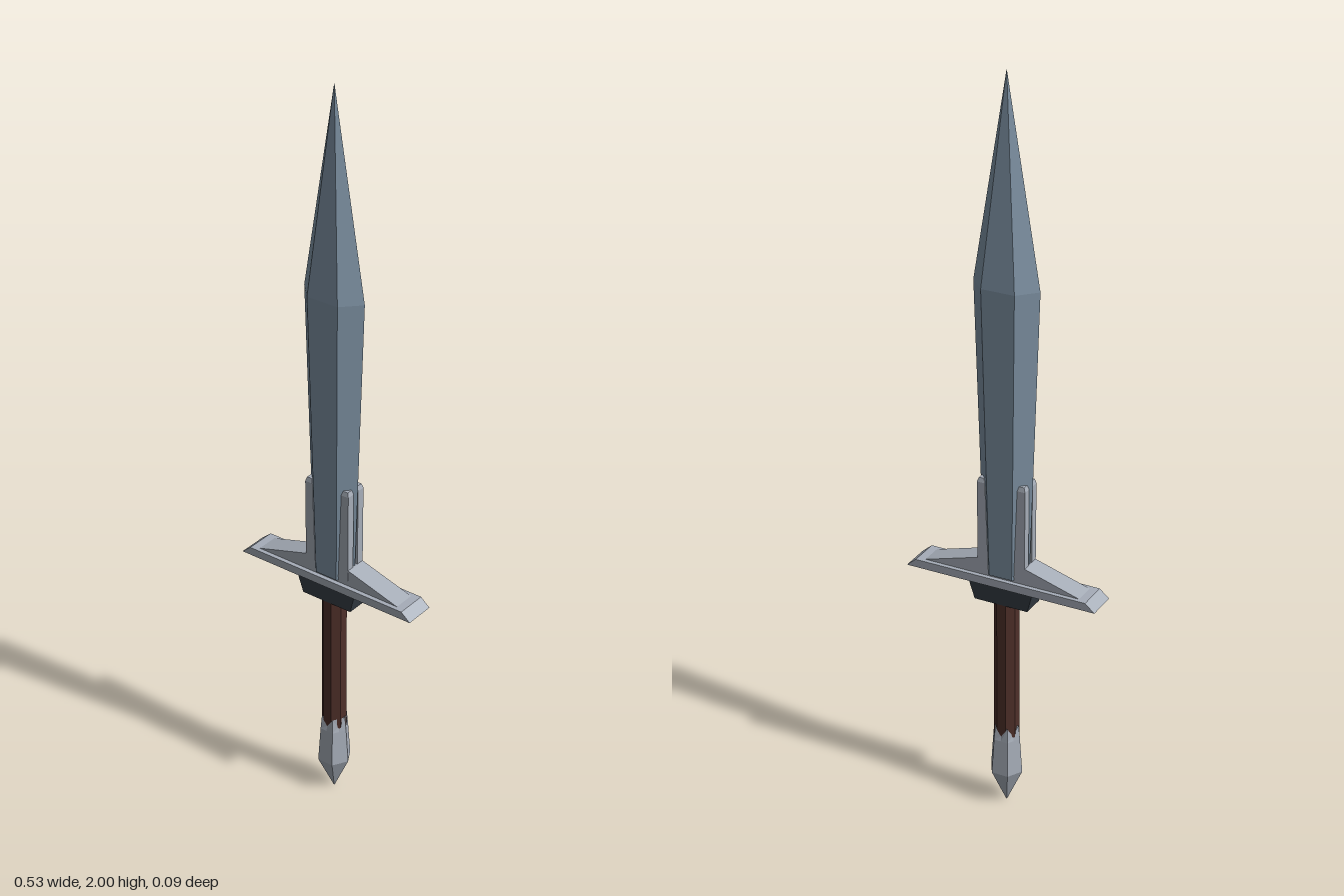
import * as THREE from 'three';

const material = (name, color) => {
  const m = new THREE.MeshStandardMaterial({ color, flatShading: true });
  m.name = name;
  return m;
};

// Skin a stack of rings (bottom to top, counter-clockwise from above) and cap both ends.
function loft(rings) {
  const pos = [];
  const tri = (...pts) => pts.forEach((p) => pos.push(...p));
  const n = rings[0].length;
  for (let i = 0; i < rings.length - 1; i++) {
    for (let j = 0; j < n; j++) {
      const k = (j + 1) % n;
      const [a, b, c, d] = [rings[i][j], rings[i][k], rings[i + 1][k], rings[i + 1][j]];
      tri(a, b, c);
      tri(a, c, d);
    }
  }
  const top = rings[rings.length - 1];
  for (let j = 1; j < n - 1; j++) {
    tri(rings[0][0], rings[0][j + 1], rings[0][j]);
    tri(top[0], top[j], top[j + 1]);
  }
  const g = new THREE.BufferGeometry();
  g.setAttribute('position', new THREE.Float32BufferAttribute(pos, 3));
  g.computeVertexNormals();
  return g;
}

// Rectangular ring with half sizes hx, hz
const rect = (y, hx, hz, cx = 0, cz = 0) => [
  [cx + hx, y, cz + hz], [cx + hx, y, cz - hz], [cx - hx, y, cz - hz], [cx - hx, y, cz + hz],
];

// Six-sided blade section: sharp edges at +-hx, flat faces of half width fx at +-hz
const bladeRing = (y, hx, fx, hz) => [
  [hx, y, 0], [fx, y, -hz], [-fx, y, -hz], [-hx, y, 0], [-fx, y, hz], [fx, y, hz],
];

// Hexagon with extra mid-side points, which can be lowered to form a notched rim
const hexRing = (y, r, notch = 0) => Array.from({ length: 12 }, (_, i) => {
  const a = (i * Math.PI) / 6;
  const odd = i % 2;
  const d = odd ? r * Math.cos(Math.PI / 6) : r;
  return [d * Math.cos(a), odd ? y - notch : y, -d * Math.sin(a)];
});

export function createModel() {
  const steel = material('blade steel', 0x7f93a5);
  const silver = material('fitting silver', 0xa6adb8);
  const dark = material('dark collar', 0x373f47);
  const leather = material('grip leather', 0x4e2f29);

  const group = new THREE.Group();
  group.name = 'sword';
  const add = (name, geometry, mat) => {
    const mesh = new THREE.Mesh(geometry, mat);
    mesh.name = name;
    group.add(mesh);
    return mesh;
  };

  // Blade widens towards its shoulder, then tapers to the tip
  add('blade', loft([
    bladeRing(0.69, 0.064, 0.032, 0.034),
    bladeRing(1.47, 0.09, 0.045, 0.047),
    bladeRing(2, 0.0005, 0.0003, 0.0003),
  ]), steel);

  // Crossguard plate with slanted ends
  add('guardPlate', loft([rect(0.663, 0.266, 0.042), rect(0.685, 0.24, 0.042)]), silver);
  // Sloped wings rising to the blade
  add('guardWings', loft([rect(0.685, 0.218, 0.03), rect(0.73, 0.067, 0.03)]), silver);

  // Four prongs clasping the blade's bevels
  for (const sx of [1, -1]) {
    for (const sz of [1, -1]) {
      add('guardProng', loft([
        rect(0.7, 0.015, 0.011, sx * 0.051, sz * 0.02),
        rect(0.945, 0.011, 0.011, sx * 0.056, sz * 0.02),
        rect(0.957, 0.007, 0.008, sx * 0.056, sz * 0.02),
      ]), silver);
    }
  }

  // Collar beneath the guard
  add('collar', loft([rect(0.61, 0.075, 0.032), rect(0.664, 0.09, 0.036)]), dark);

  // Grip
  const grip = add('grip', new THREE.CylinderGeometry(0.033, 0.033, 0.44, 8), leather);
  grip.position.y = 0.4;
  grip.rotation.y = Math.PI / 8;

  // Faceted pommel with a notched rim
  add('pommel', loft([
    hexRing(0, 0.001),
    hexRing(0.1, 0.046),
    hexRing(0.2, 0.039),
    hexRing(0.24, 0.035, 0.025),
  ]), silver);

  return group;
}
